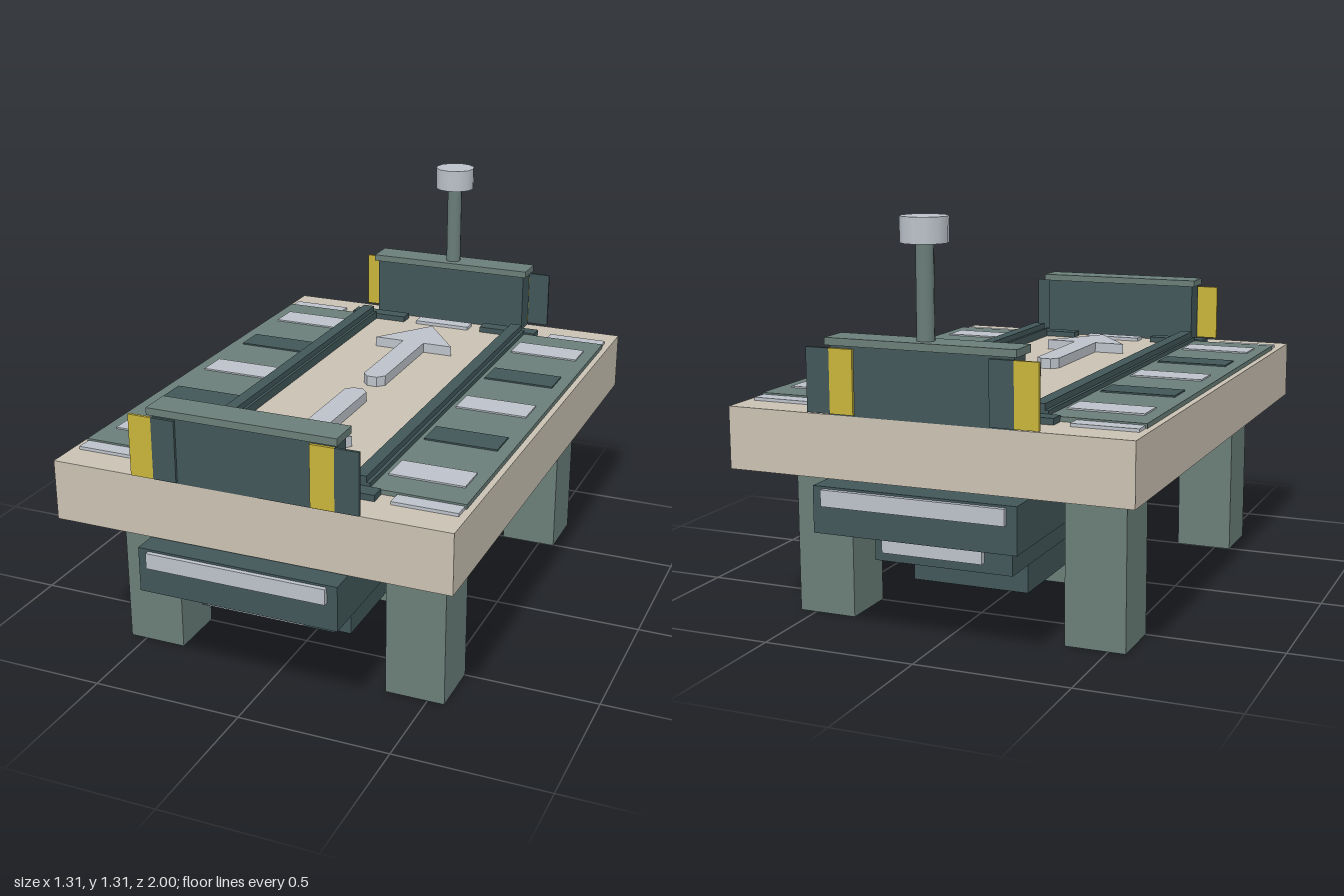
import * as THREE from 'three';

const mat = (name, color) => {
  const m = new THREE.MeshStandardMaterial({ color });
  m.name = name;
  return m;
};

export function createModel() {
  const root = new THREE.Group();
  root.name = 'platform';
  const beige = mat('beige stone', 0xc9c1b2);
  const mid = mat('grey green', 0x6a7e79);
  const dark = mat('dark teal', 0x415658);
  const light = mat('pale grey', 0xbcc2ca);
  const yellow = mat('hazard yellow', 0xc8b43a);

  const add = (name, geometry, material) => {
    const mesh = new THREE.Mesh(geometry, material);
    mesh.name = name;
    root.add(mesh);
    return mesh;
  };
  // Box given by its limits on each axis
  const box = (name, material, [x0, x1], [y0, y1], [z0, z1]) => {
    const mesh = add(name, new THREE.BoxGeometry(x1 - x0, y1 - y0, z1 - z0), material);
    mesh.position.set((x0 + x1) / 2, (y0 + y1) / 2, (z0 + z1) / 2);
    return mesh;
  };
  // Limits mirrored to the side s (+1 or -1)
  const side = (s, a, b) => (s > 0 ? [a, b] : [-b, -a]);
  const sym = (a) => [-a, a];

  // Deck slab
  box('deck', beige, sym(0.655), [0.513, 0.71], sym(0.917));

  // Stepped hull below the deck
  box('upperHull', dark, sym(0.328), [0.362, 0.507], sym(0.985));
  box('middleHull', dark, sym(0.23), [0.232, 0.362], sym(0.785));
  box('lowerHull', dark, sym(0.197), [0.115, 0.232], sym(0.585));
  box('bottomPad', mid, sym(0.197), [0.03, 0.107], sym(0.197));

  for (const s of [1, -1]) {
    // Legs
    for (const e of [1, -1]) {
      box('leg', mid, side(s, 0.36, 0.556), [0, 0.513], side(e, 0.495, 0.69));
    }

    // Side walkway with alternating inlays
    box('walkway', mid, side(s, 0.333, 0.635), [0.71, 0.725], sym(0.755));
    for (let i = -2; i <= 2; i++) {
      const z = i * 0.297;
      box('walkwayInlay', i % 2 ? dark : light, side(s, 0.35, 0.593), [0.724, 0.73], [z - 0.055, z + 0.055]);
    }

    // Rail with a raised ridge
    box('railBase', dark, side(s, 0.27, 0.333), [0.71, 0.74], sym(0.755));
    box('railRidge', dark, side(s, 0.28, 0.322), [0.74, 0.76], sym(0.755));
  }

  for (const e of [1, -1]) {
    // End lights on the hull
    box('upperLight', light, sym(0.295), [0.449, 0.5], side(e, 0.985, 1.0));
    box('lowerLight', light, sym(0.165), [0.284, 0.323], side(e, 0.845, 0.866));

    // Bumper wall and cap
    box('bumperWall', dark, sym(0.295), [0.71, 0.922], side(e, 0.84, 0.92));
    box('bumperCap', mid, sym(0.307), [0.922, 0.945], side(e, 0.828, 0.933));

    // Hazard plates on the outer face
    [[-0.373, yellow], [-0.296, dark], [0.219, yellow], [0.296, dark]].forEach(([x, m]) =>
      box('hazardPlate', m, [x, x + 0.077], [0.715, 0.913], side(e, 0.92, 0.929)));

    // Row of pads across the deck end
    const row = side(e, 0.757, 0.81);
    box('centreLamp', light, sym(0.105), [0.71, 0.722], row);
    for (const s of [1, -1]) {
      box('cornerLamp', light, side(s, 0.42, 0.63), [0.71, 0.72], row);
      box('railStop', dark, side(s, 0.155, 0.37), [0.71, 0.73], row);
    }

    // Direction arrow with a rounded tail
    const arrow = new THREE.Shape();
    arrow.moveTo(0, 0.655);
    arrow.lineTo(-0.148, 0.457);
    arrow.lineTo(-0.04, 0.457);
    arrow.lineTo(-0.04, 0.085);
    arrow.lineTo(-0.018, 0.06);
    arrow.lineTo(0.018, 0.06);
    arrow.lineTo(0.04, 0.085);
    arrow.lineTo(0.04, 0.457);
    arrow.lineTo(0.148, 0.457);
    arrow.closePath();
    const g = new THREE.ExtrudeGeometry(arrow, { depth: 0.035, bevelEnabled: false });
    g.rotateX(-Math.PI / 2);
    if (e > 0) g.rotateY(Math.PI);
    add('directionArrow', g, light).position.y = 0.71;
  }

  // Signal post with a round head
  add('signalPost', new THREE.CylinderGeometry(0.027, 0.027, 0.285, 12), mid).position.set(0, 1.0875, -0.88);
  add('signalHead', new THREE.CylinderGeometry(0.072, 0.072, 0.077, 12), light).position.set(0, 1.2685, -0.88);

  return root;
}
